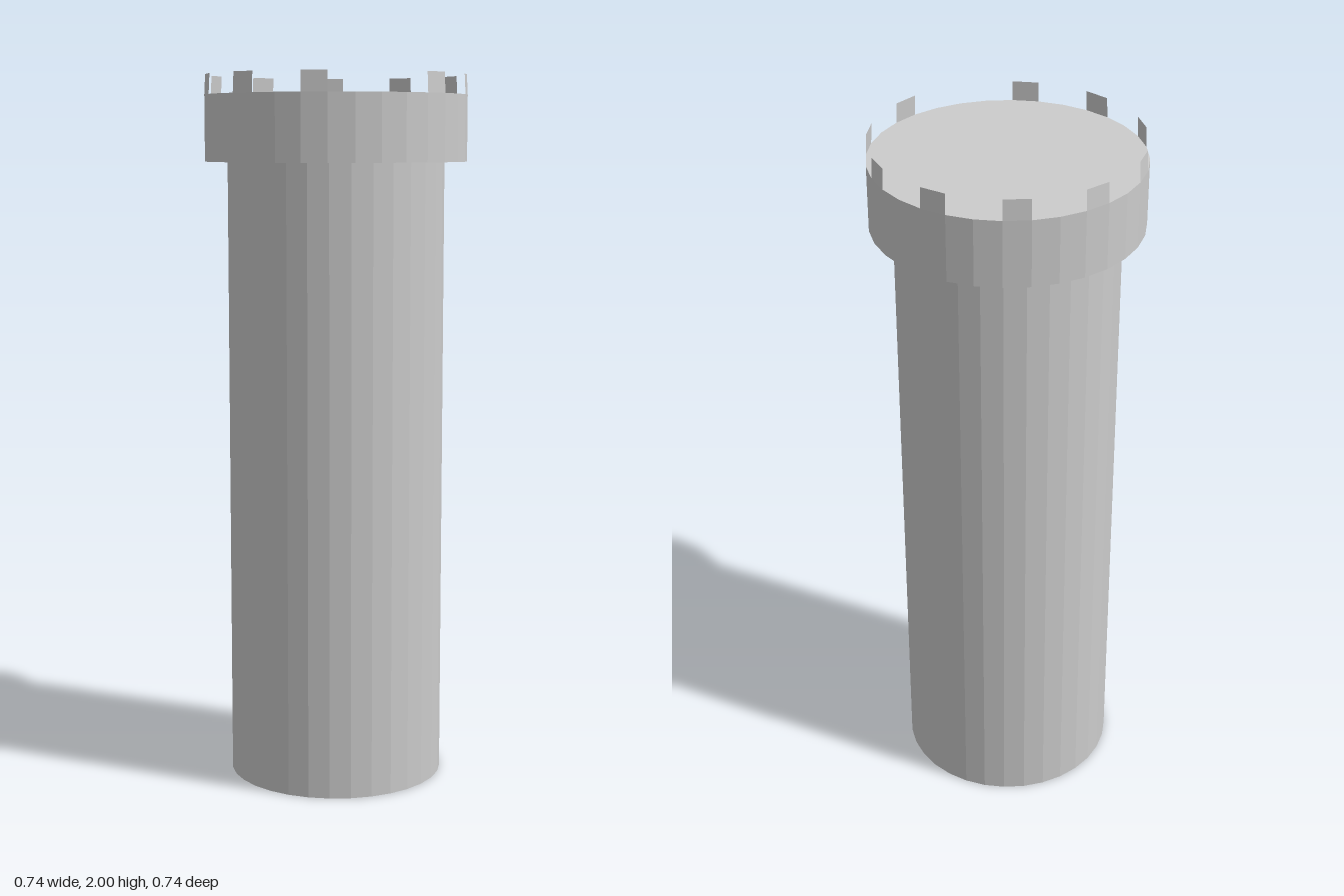
import * as THREE from 'three';

const SIDES = 32;
const HEAD_RADIUS = 0.368;
const HEAD_BOTTOM = 1.76;
const HEAD_TOP = 1.944;

export function createModel() {
  const tower = new THREE.Group();
  tower.name = 'tower';
  const stone = new THREE.MeshStandardMaterial({ color: 0xcccccc, flatShading: true });
  const sheet = stone.clone();
  sheet.side = THREE.DoubleSide;

  const addDrum = (name, radius, bottom, top) => {
    const drum = new THREE.Mesh(new THREE.CylinderGeometry(radius, radius, top - bottom, SIDES), stone);
    drum.name = name;
    drum.position.y = (bottom + top) / 2;
    tower.add(drum);
  };

  // Tall shaft and the wider head that overhangs it
  addDrum('shaft', 0.305, 0, HEAD_BOTTOM);
  addDrum('head', HEAD_RADIUS, HEAD_BOTTOM, HEAD_TOP);

  // Thin battlements, each one facet wide and leaning slightly inward
  const battlements = new THREE.Group();
  battlements.name = 'battlements';
  const step = (Math.PI * 2) / SIDES;
  // Facets counted from +x towards +z; the spacing has one irregular gap
  for (const facet of [0, 5, 8, 11, 14, 17, 20, 23, 26, 29]) {
    const merlon = new THREE.Mesh(
      new THREE.CylinderGeometry(HEAD_RADIUS - 0.003, HEAD_RADIUS, 2 - HEAD_TOP, 1, 1, true,
        Math.PI / 2 - (facet + 1) * step, step),
      sheet
    );
    merlon.name = 'merlon';
    merlon.position.y = (HEAD_TOP + 2) / 2;
    battlements.add(merlon);
  }
  tower.add(battlements);
  return tower;
}
